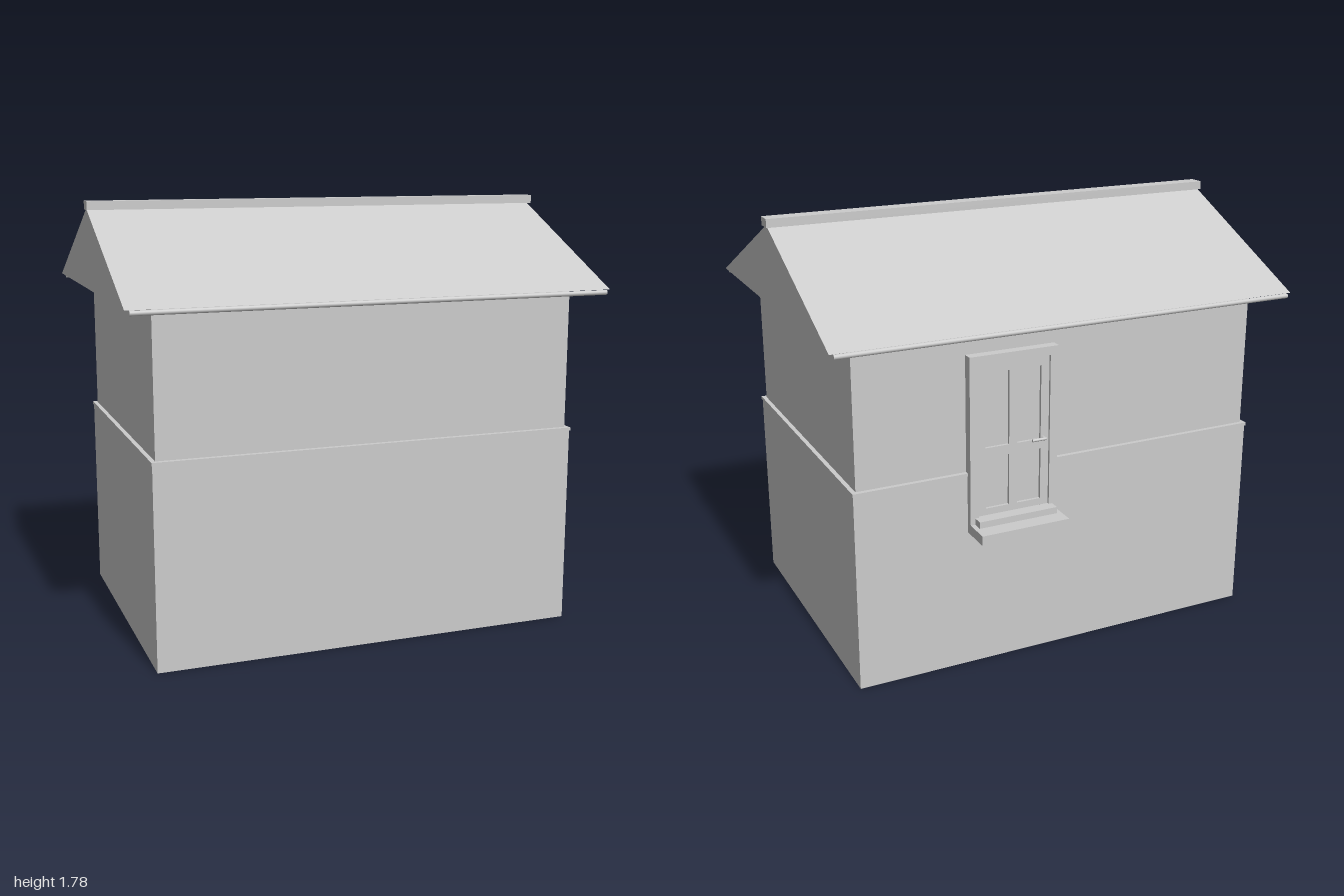
import * as THREE from 'three';

export function createModel() {
  const group = new THREE.Group();
  const grey = new THREE.MeshStandardMaterial({ color: 0xcccccc });
  grey.name = 'plain grey';

  const add = (name, geometry) => {
    const mesh = new THREE.Mesh(geometry, grey);
    mesh.name = name;
    group.add(mesh);
    return mesh;
  };
  // Box given by its lower and upper limits on each axis
  const box = (name, x0, x1, y0, y1, z0, z1) => {
    const mesh = add(name, new THREE.BoxGeometry(x1 - x0, y1 - y0, z1 - z0));
    mesh.position.set((x0 + x1) / 2, (y0 + y1) / 2, (z0 + z1) / 2);
    return mesh;
  };

  // Walls: wider lower storey, thin ledge, upper storey
  box('lowerWall', -0.89, 0.89, 0, 0.825, -0.603, 0.625);
  box('wallLedge', -0.893, 0.893, 0.825, 0.838, -0.608, 0.63);
  box('upperWall', -0.875, 0.875, 0.838, 1.425, -0.59, 0.61);

  // Solid gable roof, extruded along x
  const gable = new THREE.Shape([
    new THREE.Vector2(-0.728, 1.425),
    new THREE.Vector2(0.708, 1.425),
    new THREE.Vector2(-0.01, 1.75),
  ]);
  const roofGeometry = new THREE.ExtrudeGeometry(gable, { depth: 1.988, bevelEnabled: false });
  roofGeometry.rotateY(Math.PI / 2);
  add('roof', roofGeometry).position.x = -0.997;
  box('ridgeCap', -1, 1, 1.745, 1.78, -0.024, 0.042);

  // Round gutters under both eaves
  for (const z of [0.727, -0.707]) {
    const gutter = add('gutter', new THREE.CylinderGeometry(0.01, 0.01, 1.955, 12));
    gutter.rotation.z = Math.PI / 2;
    gutter.position.set(-0.002, 1.414, z);
  }

  // Door frame on the back wall
  const left = 0.42, right = 0.04, bottom = 0.625, top = 1.315, rim = 0.035;
  for (const x of [right, left - rim]) box('doorJamb', x, x + rim, bottom, top, -0.63, -0.585);
  box('doorLintel', right + rim, left - rim, top - rim, top, -0.63, -0.585);

  // Door leaf: a back panel with raised stiles and rails
  const x0 = right + rim, x1 = left - rim, y1 = top - rim, mid = (x0 + x1) / 2;
  box('doorPanel', x0, x1, bottom, y1, -0.608, -0.585);
  for (const [a, b] of [[x0, x0 + 0.035], [mid - 0.018, mid + 0.018], [x1 - 0.035, x1]]) {
    box('doorStile', a, b, bottom, y1, -0.62, -0.6);
  }
  for (const [a, b] of [[bottom, 0.68], [0.895, 0.935], [y1 - 0.04, y1]]) {
    box('doorRail', x0 + 0.035, x1 - 0.035, a, b, -0.6195, -0.6);
  }

  // Lever handle
  const spindle = add('handleSpindle', new THREE.CylinderGeometry(0.007, 0.007, 0.022, 10));
  spindle.rotation.x = Math.PI / 2;
  spindle.position.set(0.1, 0.94, -0.629);
  const lever = add('handleLever', new THREE.CylinderGeometry(0.006, 0.006, 0.06, 10));
  lever.rotation.z = Math.PI / 2;
  lever.position.set(0.125, 0.94, -0.638);

  // Doorstep and threshold
  box('doorStep', right, left, 0.585, 0.625, -0.74, -0.595);
  box('threshold', right + 0.02, left - 0.02, 0.625, 0.652, -0.672, -0.6);

  return group;
}
